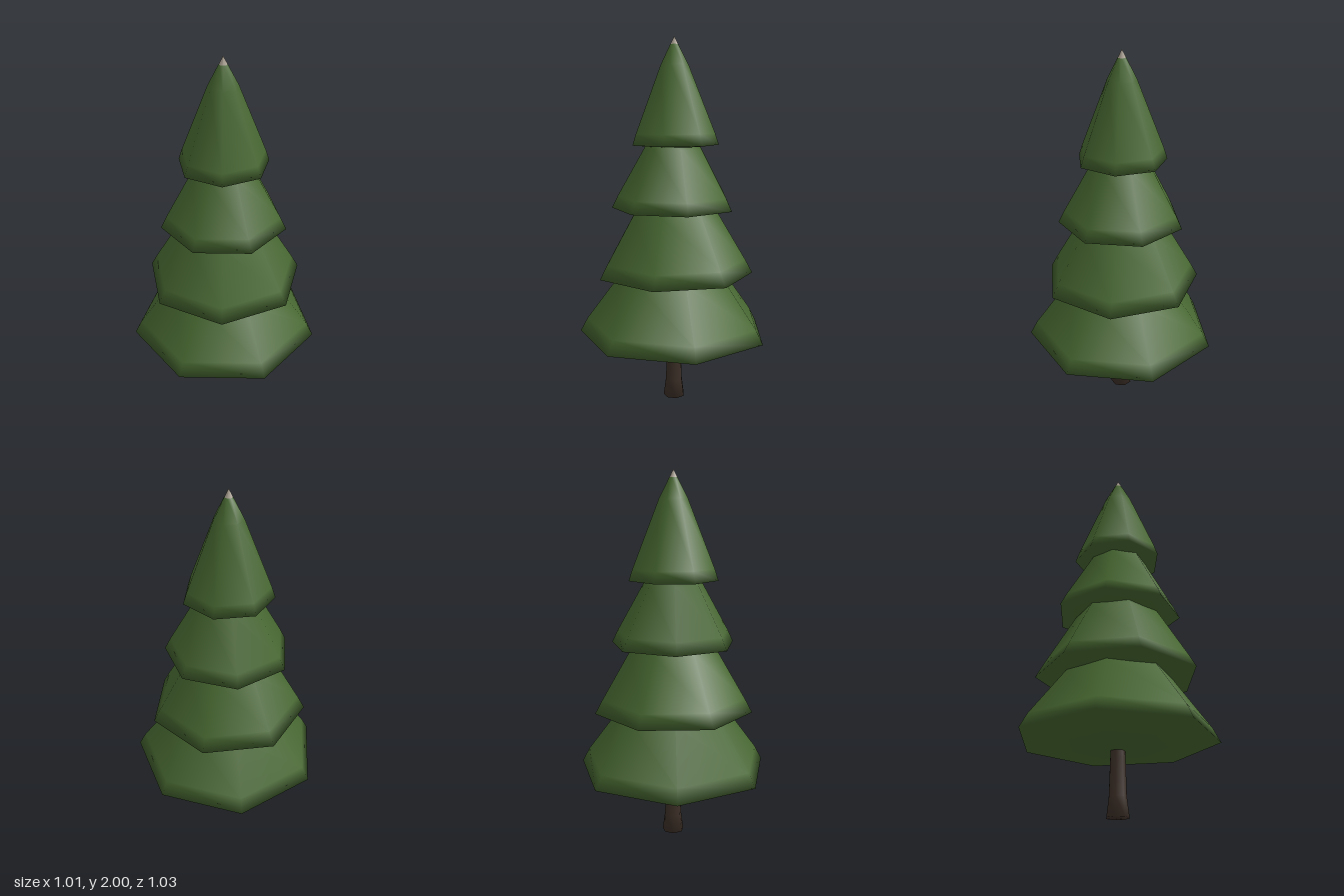
import * as THREE from 'three';

export function createModel() {
  const tree = new THREE.Group();
  tree.name = 'pineTree';

  const mat = (name, color) => {
    const m = new THREE.MeshStandardMaterial({ color });
    m.name = name;
    return m;
  };
  const green = mat('needleGreen', 0x466630);
  const brown = mat('barkBrown', 0x3b2e26);
  const grey = mat('tipGrey', 0xa89e90);

  // Seven-sided turned part; the profile runs from bottom to top as [radius, y]
  const addTurned = (name, material, profile, corner) => {
    const points = profile.map(([r, y]) => new THREE.Vector2(r, y));
    const mesh = new THREE.Mesh(new THREE.LatheGeometry(points, 7, corner), material);
    mesh.name = name;
    mesh.position.x = -0.02;
    tree.add(mesh);
  };
  const cornerLeft = Math.PI / 2;   // first corner on +x
  const cornerRight = -Math.PI / 2; // first corner on -x

  // Trunk with a flared foot
  addTurned('trunk', brown, [[0, 0], [0.06, 0], [0.047, 0.1], [0.04, 0.3], [0.04, 0.42]], cornerLeft);

  // Branch tiers: sagging underside, sharp rim, soft shoulder, sloping top
  const tiers = [
    [[0, 0.325], [0.53, 0.38], [0.49, 0.455], [0.3, 0.71], [0.24, 0.79], [0, 0.82]],
    [[0, 0.7], [0.435, 0.722], [0.395, 0.795], [0.238, 1.06], [0.19, 1.13], [0, 1.16]],
    [[0, 1.055], [0.342, 1.085], [0.31, 1.15], [0.163, 1.41], [0.13, 1.47], [0, 1.5]],
    [[0, 1.41], [0.242, 1.43], [0.222, 1.49], [0.078, 1.85], [0.022, 1.958], [0, 1.96]],
  ];
  tiers.forEach((profile, i) =>
    addTurned(`branchTier${i + 1}`, green, profile, i % 2 ? cornerRight : cornerLeft));

  // Pale tip
  addTurned('tip', grey, [[0.024, 1.953], [0, 2]], cornerRight);

  return tree;
}
